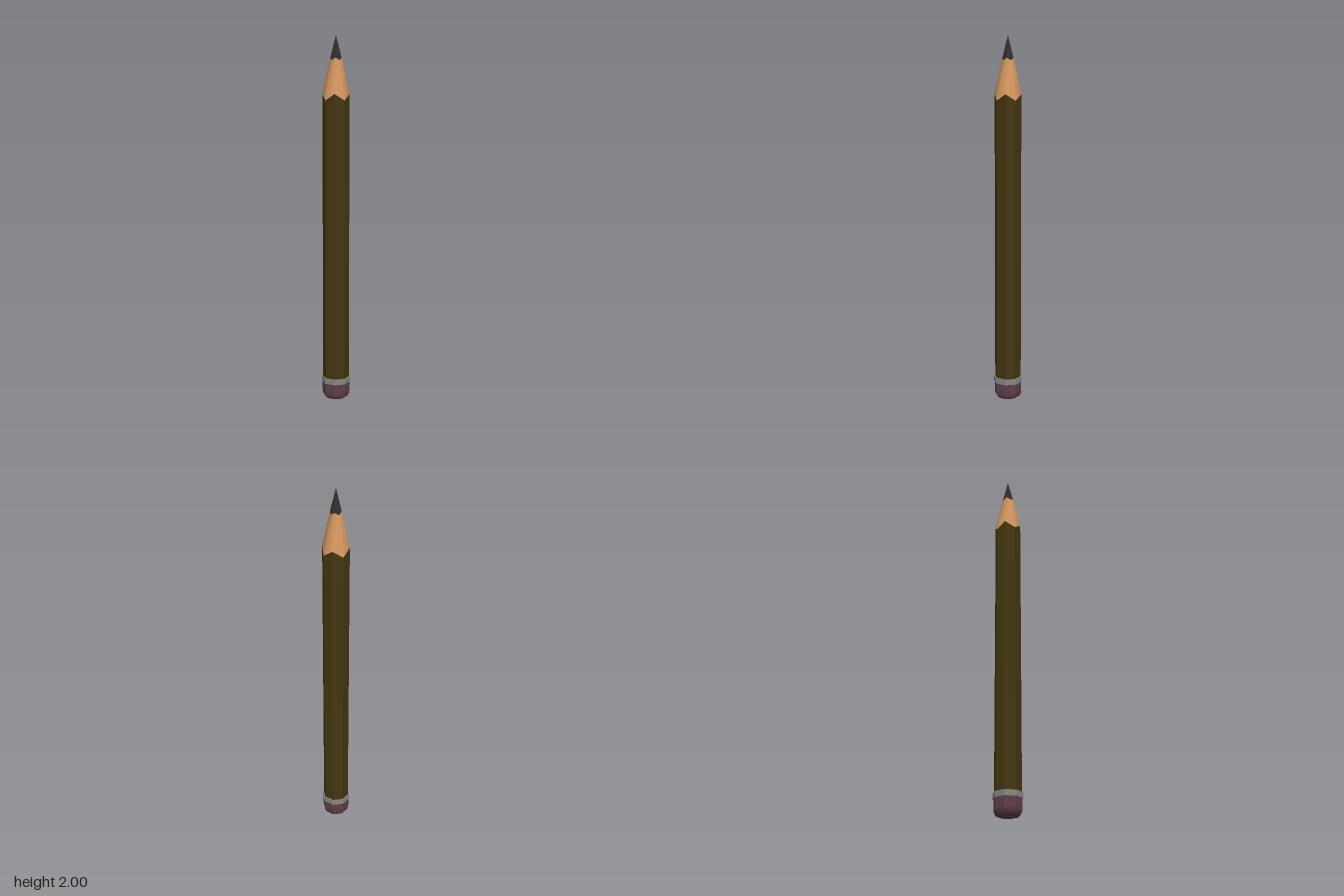
import * as THREE from 'three';

const SIDES = 8;

// Octagonal skin through rings [radius, y, yDiagonal]; diagonal corners may sit
// at another height, which gives the scalloped sharpening line.
function loft(rings, { flat = true } = {}) {
  const pos = [], idx = [];
  for (const [r, y, yDiag = y] of rings) {
    for (let i = 0; i < SIDES; i++) {
      const a = (i / SIDES) * Math.PI * 2;
      pos.push(Math.sin(a) * r, i % 2 ? yDiag : y, Math.cos(a) * r);
    }
  }
  for (let k = 0; k < rings.length - 1; k++) {
    for (let i = 0; i < SIDES; i++) {
      const j = (i + 1) % SIDES;
      const a = k * SIDES + i, b = k * SIDES + j, c = a + SIDES, d = b + SIDES;
      // Collapsed rings form a single point, so skip their empty triangle
      if (rings[k][0] > 0) idx.push(a, b, d);
      if (rings[k + 1][0] > 0) idx.push(a, d, c);
    }
  }
  let geo = new THREE.BufferGeometry();
  geo.setAttribute('position', new THREE.Float32BufferAttribute(pos, 3));
  geo.setIndex(idx);
  if (flat) geo = geo.toNonIndexed();
  geo.computeVertexNormals();
  return geo;
}

export function createModel() {
  const pencil = new THREE.Group();
  pencil.name = 'pencil';

  const add = (name, color, rings, flat = true) => {
    const material = new THREE.MeshStandardMaterial({ color, flatShading: flat });
    const mesh = new THREE.Mesh(loft(rings, { flat }), material);
    mesh.name = name;
    pencil.add(mesh);
  };

  // Rounded eraser, closed underneath
  add('eraser', 0x5e3e4a, [
    [0, 0], [0.058, 0], [0.067, 0.007], [0.074, 0.022], [0.076, 0.04], [0.076, 0.1],
  ]);

  // Metal band with a small lip above and below
  add('ferrule', 0x868684, [
    [0.07, 0.088], [0.08, 0.088], [0.08, 0.119], [0.07, 0.119],
  ]);

  // Painted barrel
  add('barrel', 0x43360f, [[0.073, 0.1], [0.073, 1.69, 1.655]]);

  // Sharpened wood, softly shaded
  add('sharpenedWood', 0xd6985f, [[0.073, 1.69, 1.655], [0.03, 1.88, 1.867]], false);

  // Graphite point
  add('lead', 0x303030, [[0.03, 1.88, 1.867], [0, 2]]);

  return pencil;
}
